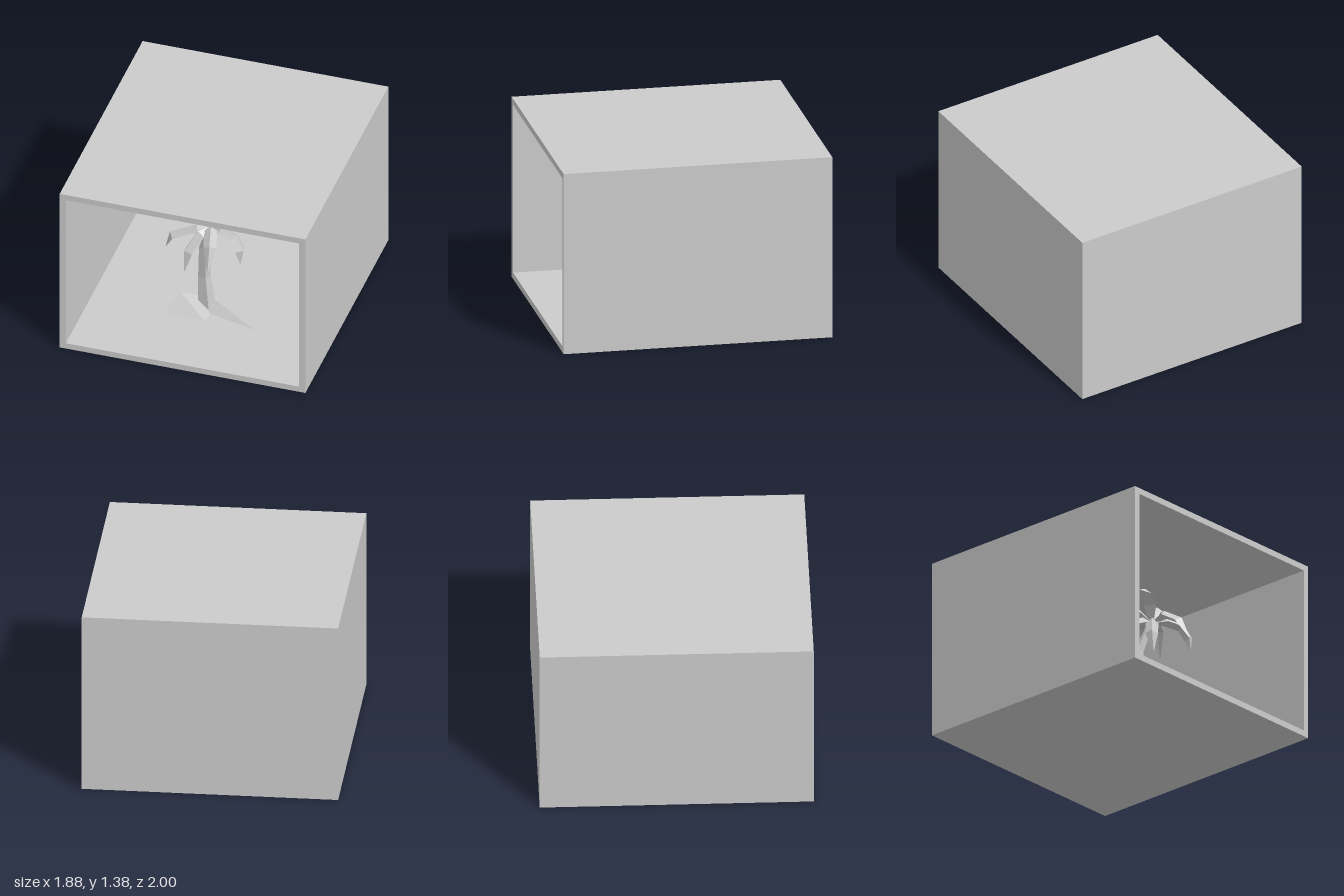
import * as THREE from 'three';

const material = new THREE.MeshStandardMaterial({ color: 0xcccccc, flatShading: true });
const vec = (p) => new THREE.Vector3(...p);

function addMesh(parent, name, geometry) {
  const mesh = new THREE.Mesh(geometry, material);
  mesh.name = name;
  parent.add(mesh);
  return mesh;
}

// Faceted geometry from a list of triangles of Vector3 corners
function facets(triangles) {
  const geometry = new THREE.BufferGeometry().setFromPoints(triangles.flat());
  geometry.computeVertexNormals();
  return geometry;
}

// Joins rings (counter-clockwise about the travel direction) and closes both ends
function loft(rings) {
  const triangles = [];
  const n = rings[0].length;
  for (let r = 0; r < rings.length - 1; r++) {
    const a = rings[r], b = rings[r + 1];
    for (let i = 0; i < n; i++) {
      const j = (i + 1) % n;
      triangles.push([a[i], a[j], b[j]], [a[i], b[j], b[i]]);
    }
  }
  const first = rings[0], last = rings[rings.length - 1];
  for (let i = 1; i < n - 1; i++) {
    triangles.push([first[0], first[i + 1], first[i]], [last[0], last[i], last[i + 1]]);
  }
  return facets(triangles);
}

// Three-sided pyramid; base corners run counter-clockwise seen from above
function pyramid(apex, a, b, c) {
  const [t, p, q, r] = [apex, a, b, c].map(vec);
  return facets([[t, p, q], [t, q, r], [t, r, p], [p, r, q]]);
}

// Folded, drooping leaf through the given points
function frond(points) {
  const p = points.map(vec);
  const end = p.length - 1;
  const heading = p[end].clone().sub(p[0]).setY(0).normalize();
  const side = new THREE.Vector3(0, 1, 0).cross(heading);
  return loft(p.map((c, i) => {
    const travel = p[Math.min(i + 1, end)].clone().sub(p[Math.max(i - 1, 0)]).normalize();
    const up = travel.cross(side).normalize();
    const w = i === 0 ? 0.018 : i === end ? 0.004 : 0.047;
    const at = (s, u) => c.clone().addScaledVector(side, s * w).addScaledVector(up, u * w);
    return [at(1, -0.6), at(0, 0.3), at(-1, -0.6), at(0, -0.35)];
  }));
}

// Slice of the sun disc between two heights
function sunSlice(low, high) {
  const R = 0.562, cy = 0.643, steps = 14;
  const a0 = Math.asin(Math.max(-1, (low - cy) / R));
  const a1 = Math.asin(Math.min(1, (high - cy) / R));
  const n = Math.max(2, Math.ceil(steps * (a1 - a0) / Math.PI * 1.2));
  const right = [];
  for (let i = 0; i <= n; i++) {
    const a = a0 + (a1 - a0) * i / n;
    right.push(new THREE.Vector2(R * Math.cos(a), cy + R * Math.sin(a)));
  }
  const left = right.map((v) => new THREE.Vector2(-v.x, v.y)).reverse();
  const shape = new THREE.Shape([...right, ...left]);
  return new THREE.ExtrudeGeometry(shape, { depth: 0.02, bevelEnabled: false });
}

export function createModel() {
  const model = new THREE.Group();
  model.name = 'beachDiorama';

  // Open-fronted box
  const rect = (Kind, x, y0, y1) => new Kind([[-x, y0], [x, y0], [x, y1], [-x, y1]]
    .map(([a, b]) => new THREE.Vector2(a, b)));
  const frame = rect(THREE.Shape, 0.94, 0, 1.38);
  frame.holes.push(rect(THREE.Path, 0.893, 0.047, 1.333));
  const walls = addMesh(model, 'boxWalls',
    new THREE.ExtrudeGeometry(frame, { depth: 1.95, bevelEnabled: false }));
  walls.position.z = -0.95;
  const back = addMesh(model, 'backWall', new THREE.BoxGeometry(1.88, 1.38, 0.05));
  back.position.set(0, 0.69, -0.975);

  // Striped setting sun on the back wall
  const sun = new THREE.Group();
  sun.name = 'sun';
  sun.position.z = -0.95;
  model.add(sun);
  const slices = [[0.82, 1.21], [0.765, 0.805], [0.71, 0.75], [0.655, 0.69], [0.58, 0.63],
    [0.505, 0.56], [0.45, 0.48], [0.36, 0.425], [0.27, 0.33], [0.18, 0.243], [0.13, 0.152]];
  slices.forEach(([low, high]) => addMesh(sun, 'sunStripe', sunSlice(low, high)));

  // Sand dunes at the foot of the palm
  addMesh(model, 'dune', pyramid([-0.23, 0.18, 0.314],
    [-0.33, 0.045, 0.424], [0, 0.045, 0.44], [0, 0.045, 0.127]));
  addMesh(model, 'smallDune', pyramid([-0.01, 0.135, 0.25],
    [-0.04, 0.045, 0.32], [0.38, 0.045, 0.43], [-0.02, 0.045, 0.2]));

  const palm = new THREE.Group();
  palm.name = 'palmTree';
  model.add(palm);

  // Curved four-sided trunk: x, y, z, radius
  const trunk = [[-0.05, 0.04, 0.25, 0.066], [-0.075, 0.31, 0.235, 0.047],
    [-0.073, 0.58, 0.25, 0.038], [-0.002, 0.83, 0.31, 0.025]];
  addMesh(palm, 'trunk', loft(trunk.map(([x, y, z, r]) => [0, 1, 2, 3].map((i) => {
    const a = 0.5 + i * Math.PI / 2;
    return new THREE.Vector3(x + r * Math.sin(a), y, z + r * Math.cos(a));
  }))));

  // Fronds: points after the shared crown
  const crown = [0, 0.82, 0.31];
  const fronds = [
    [[-0.05, 0.94, 0.35], [-0.155, 1.0, 0.39], [-0.26, 0.96, 0.43]],
    [[0.06, 0.96, 0.28], [0.18, 1.02, 0.21], [0.28, 0.955, 0.15]],
    [[-0.09, 0.89, 0.27], [-0.22, 0.91, 0.2], [-0.32, 0.76, 0.16], [-0.33, 0.7, 0.15]],
    [[-0.1, 0.81, 0.32], [-0.3, 0.71, 0.33], [-0.34, 0.585, 0.33]],
    [[-0.07, 0.8, 0.38], [-0.15, 0.66, 0.45], [-0.155, 0.495, 0.47]],
    [[0.03, 0.88, 0.41], [0.06, 0.8, 0.54], [0.07, 0.63, 0.62]],
    [[0.1, 0.86, 0.36], [0.22, 0.84, 0.41], [0.28, 0.75, 0.44], [0.27, 0.64, 0.45]],
    [[0.08, 0.87, 0.26], [0.2, 0.86, 0.19], [0.27, 0.68, 0.15]],
    [[-0.05, 0.88, 0.22], [-0.14, 0.89, 0.1], [-0.18, 0.76, 0.02]],
    [[0.03, 0.87, 0.21], [0.1, 0.88, 0.09], [0.14, 0.78, 0.0]],
  ];
  fronds.forEach((points) => addMesh(palm, 'frond', frond([crown, ...points])));

  return model;
}
